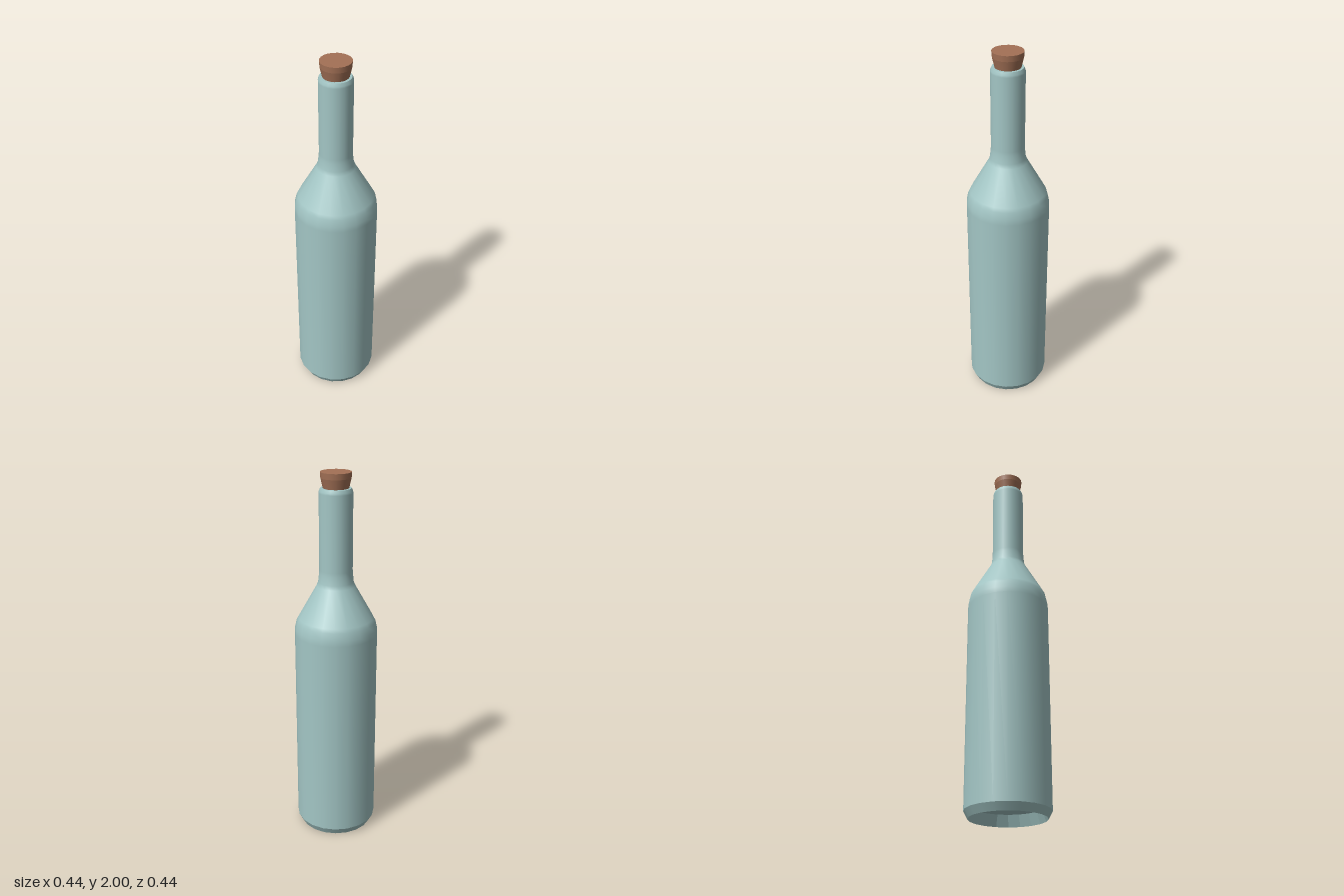
import * as THREE from 'three';

const SIDES = 20;

export function createModel() {
  const group = new THREE.Group();
  group.name = 'corkedBottle';

  const glass = new THREE.MeshStandardMaterial({ color: 0xa3c6c5 });
  glass.name = 'paleGlass';
  const cork = new THREE.MeshStandardMaterial({ color: 0xa37156 });
  cork.name = 'corkBrown';

  // Each section is smooth in itself, with a sharp edge where it meets the next
  function turned(name, material, profile, faceted = false) {
    const points = profile.map(([r, y]) => new THREE.Vector2(r, y));
    let geometry = new THREE.LatheGeometry(points, SIDES);
    if (faceted) {
      geometry = geometry.toNonIndexed();
      geometry.computeVertexNormals();
    }
    const mesh = new THREE.Mesh(geometry, material);
    mesh.name = name;
    group.add(mesh);
  }

  // Hollow underside
  turned('baseCeiling', glass, [[0, 0.06], [0.178, 0.06]]);
  turned('baseRecessWall', glass, [[0.178, 0.06], [0.2, 0]], true);
  turned('baseChamfer', glass, [[0.2, 0], [0.221, 0.04]]);

  // Body, shoulder and neck in one smooth sweep
  turned('bottleBody', glass, [
    [0.221, 0.04], [0.22, 1.15], [0.219, 1.18], [0.21, 1.22],
    [0.2, 1.24], [0.102, 1.413], [0.093, 1.435], [0.088, 1.48],
    [0.087, 1.5], [0.087, 1.895], [0.086, 1.905], [0.08, 1.92],
  ]);
  turned('bottleLip', glass, [[0.08, 1.92], [0.06, 1.92]]);

  // Tapered stopper
  turned('corkTaper', cork, [[0.064, 1.91], [0.078, 1.97]]);
  turned('corkRim', cork, [[0.078, 1.97], [0.08, 2]]);
  turned('corkTop', cork, [[0.08, 2], [0, 2]]);

  return group;
}
